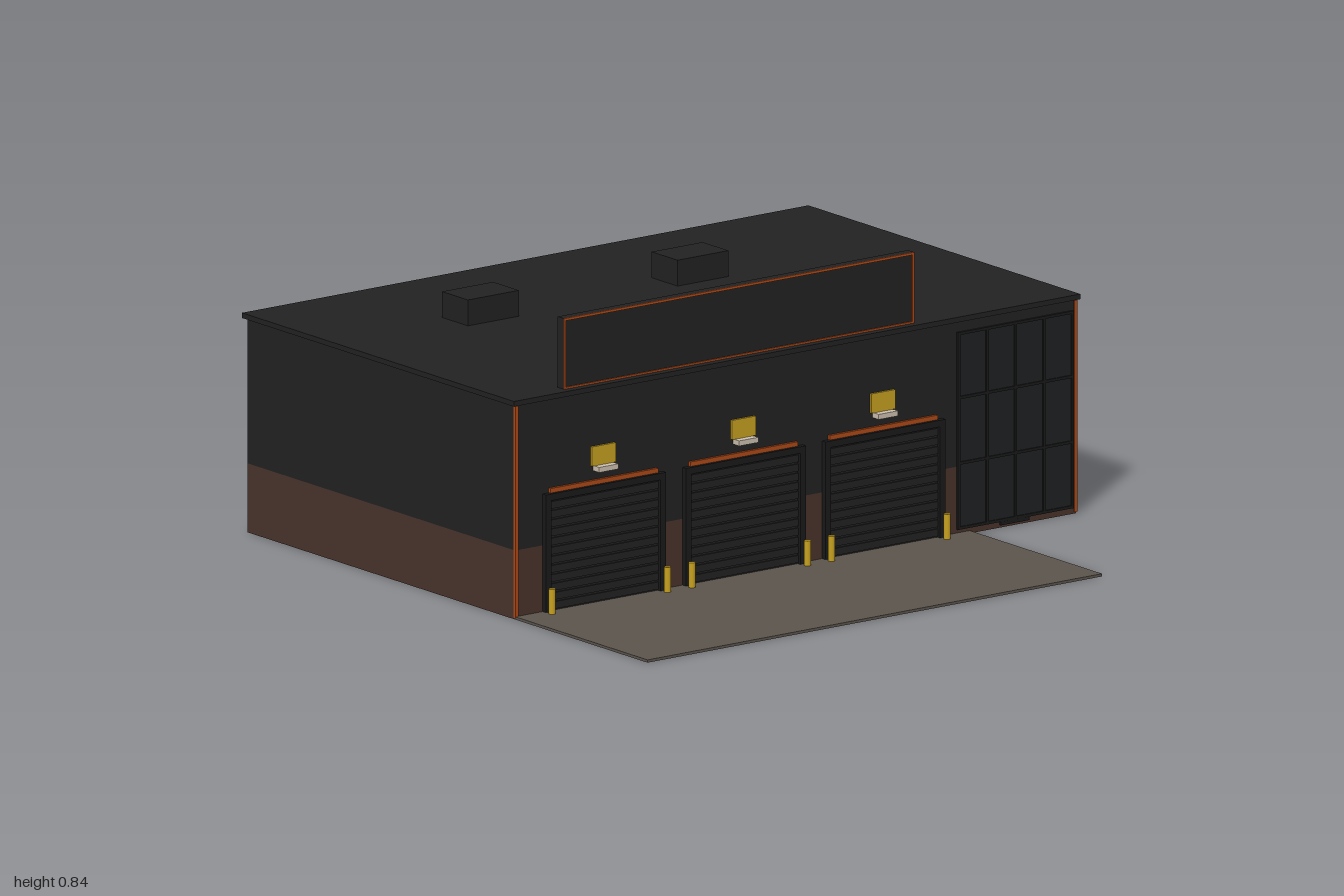
import * as THREE from 'three';

const mat = (name, color) => {
  const m = new THREE.MeshStandardMaterial({ color });
  m.name = name;
  return m;
};

export function createModel() {
  const root = new THREE.Group();
  root.name = 'garageBuilding';
  const charcoal = mat('charcoal', 0x222222);
  const trim = mat('black trim', 0x1a1a1a);
  const glass = mat('dark glass', 0x1e2122);
  const brick = mat('brown brick', 0x4a342c);
  const orange = mat('burnt orange', 0xb04a18);
  const yellow = mat('safety yellow', 0xc9a21f);
  const concrete = mat('concrete', 0x5c554d);
  const lampWhite = mat('lamp cream', 0xcfc2b0);

  // box given by its minimum and maximum on each axis
  const box = (name, m, x0, x1, y0, y1, z0, z1, parent = root) => {
    const mesh = new THREE.Mesh(new THREE.BoxGeometry(x1 - x0, y1 - y0, z1 - z0), m);
    mesh.position.set((x0 + x1) / 2, (y0 + y1) / 2, (z0 + z1) / 2);
    mesh.name = name;
    parent.add(mesh);
    return mesh;
  };

  // shell, roof and forecourt
  box('brickBase', brick, -0.99, 0.99, 0, 0.2, -0.92, 0.32);
  box('upperWalls', charcoal, -0.99, 0.99, 0.2, 0.62, -0.92, 0.32);
  box('roofSlab', charcoal, -1, 1, 0.62, 0.635, -0.932, 0.327);
  box('forecourt', concrete, -0.99, 0.615, 0, 0.008, 0.32, 0.932);

  // orange corner strips
  for (const s of [-1, 1]) {
    box('cornerStrip', orange, s * 0.987 - 0.005, s * 0.987 + 0.005, 0.005, 0.618, 0.314, 0.324);
  }

  // rooftop units
  for (const x of [-0.495, 0.245]) {
    box('rooftopUnit', charcoal, x - 0.09, x + 0.09, 0.635, 0.71, -0.55, -0.43);
  }

  // raised parapet board with orange edging and rear braces
  box('parapetBoard', charcoal, -0.805, 0.432, 0.635, 0.84, 0.274, 0.3);
  box('boardEdgeTop', orange, -0.805, 0.432, 0.833, 0.84, 0.3, 0.304);
  box('boardEdgeBottom', orange, -0.805, 0.432, 0.635, 0.64, 0.3, 0.304);
  box('boardEdgeSide', orange, -0.805, -0.798, 0.64, 0.833, 0.3, 0.304);
  box('boardEdgeSide', orange, 0.425, 0.432, 0.64, 0.833, 0.3, 0.304);
  for (const x of [-0.495, 0.122]) {
    box('boardBrace', trim, x - 0.008, x + 0.008, 0.635, 0.72, 0.266, 0.274);
  }

  // three roller-door bays
  for (const x of [-0.682, -0.188, 0.305]) {
    const bay = new THREE.Group();
    bay.name = 'doorBay';
    bay.position.x = x;
    root.add(bay);
    box('doorPanel', charcoal, -0.192, 0.192, 0.008, 0.33, 0.319, 0.324, bay);
    for (let i = 0; i < 12; i++) {
      const y = 0.012 + i * 0.0265;
      box('doorSlat', charcoal, -0.192, 0.192, y, y + 0.021, 0.323, 0.328, bay);
    }
    for (const s of [-1, 1]) {
      box('doorJamb', trim, s * 0.202 - 0.01, s * 0.202 + 0.01, 0.008, 0.33, 0.319, 0.336, bay);
      const post = new THREE.Mesh(new THREE.CylinderGeometry(0.01, 0.01, 0.072, 12), yellow);
      post.name = 'bollard';
      post.position.set(s * 0.204, 0.044, 0.354);
      bay.add(post);
    }
    box('doorHeader', trim, -0.212, 0.212, 0.33, 0.349, 0.319, 0.336, bay);
    box('headerStripe', orange, -0.19, 0.19, 0.35, 0.363, 0.319, 0.329, bay);
    box('bayPlaque', yellow, -0.042, 0.042, 0.404, 0.46, 0.319, 0.327, bay);
    box('bayLamp', lampWhite, -0.034, 0.034, 0.389, 0.404, 0.319, 0.349, bay);
  }

  // glazed shopfront with mullions
  box('shopGlass', glass, 0.568, 0.978, 0.018, 0.59, 0.319, 0.323);
  for (let i = 0; i <= 4; i++) {
    const x = 0.572 + i * 0.1005;
    box('mullion', trim, x - 0.004, x + 0.004, 0.018, 0.59, 0.32, 0.327);
  }
  for (const y of [0.022, 0.21, 0.4, 0.586]) {
    box('transom', trim, 0.568, 0.978, y - 0.004, y + 0.004, 0.32, 0.3265);
  }
  box('doorThreshold', trim, 0.72, 0.82, 0.008, 0.018, 0.319, 0.327);

  return root;
}
